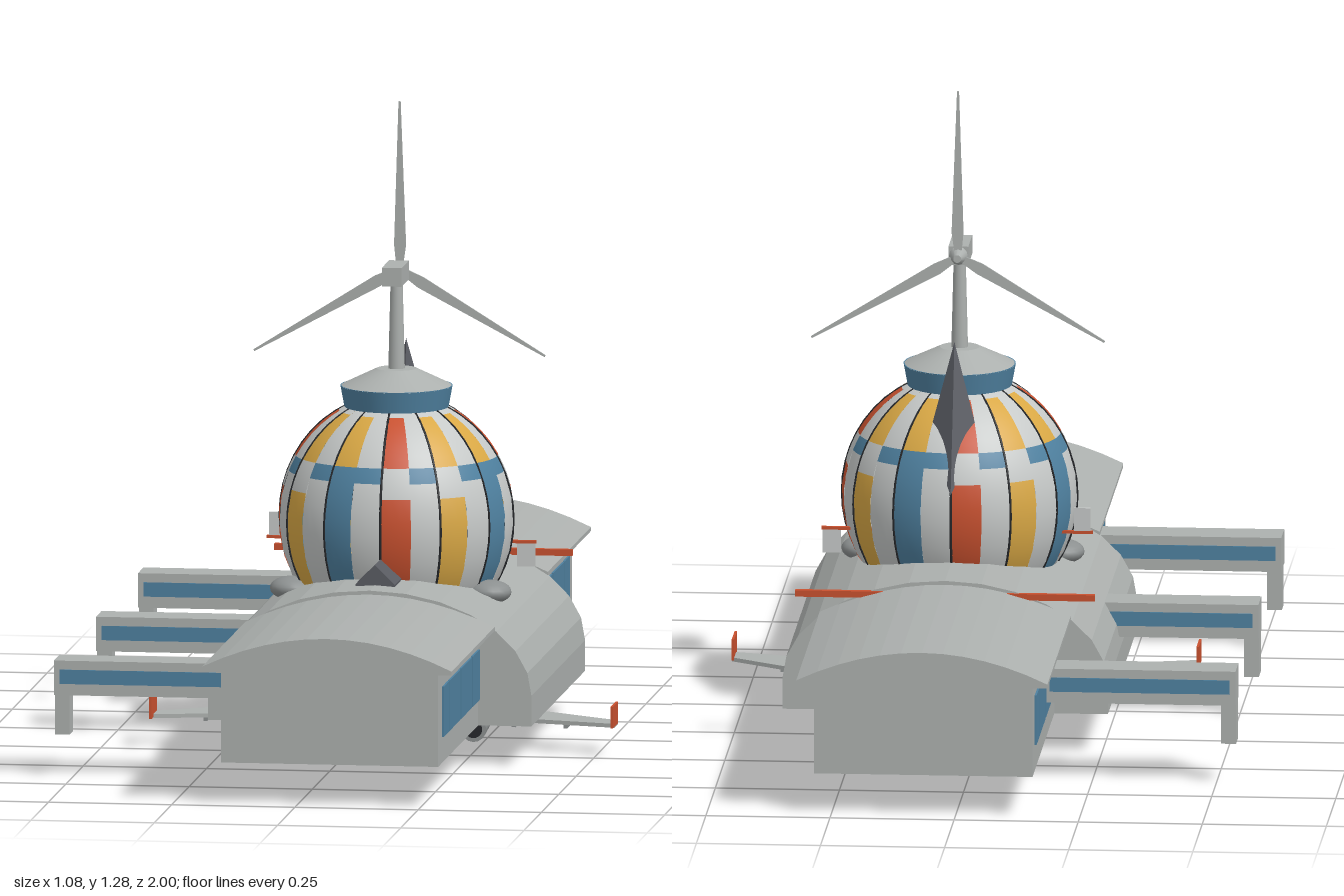
import * as THREE from 'three';
import { mergeGeometries } from 'three/addons/utils/BufferGeometryUtils.js';
import { ConvexGeometry } from 'three/addons/geometries/ConvexGeometry.js';

const CX = 0.065; // building centre line
const mat = (name, color, side = THREE.FrontSide) => {
  const m = new THREE.MeshStandardMaterial({ color, side });
  m.name = name;
  return m;
};

export function createModel() {
  const M = {
    grey: mat('concrete grey', 0xacb0ae),
    pale: mat('pale panel', 0xc6c9c8, THREE.DoubleSide),
    blue: mat('blue', 0x4f81a0, THREE.DoubleSide),
    red: mat('red', 0xc9512f, THREE.DoubleSide),
    yellow: mat('yellow', 0xd9a845, THREE.DoubleSide),
    slate: mat('slate', 0x5a5c63),
    black: mat('black rib', 0x26282b),
    steel: mat('steel', 0x8c9090),
  };
  const root = new THREE.Group();
  root.name = 'terminal';
  const add = (name, geo, material, x = 0, y = 0, z = 0, parent = root) => {
    const m = new THREE.Mesh(geo, material);
    m.name = name;
    m.position.set(x, y, z);
    parent.add(m);
    return m;
  };
  // box from its limits
  const box = (name, material, x0, x1, y0, y1, z0, z1) =>
    add(name, new THREE.BoxGeometry(x1 - x0, y1 - y0, z1 - z0), material,
      (x0 + x1) / 2, (y0 + y1) / 2, (z0 + z1) / 2);
  // x-y outline extruded along z
  const prism = (name, material, pts, z0, z1) => {
    const shape = new THREE.Shape(pts.map(p => new THREE.Vector2(p[0], p[1])));
    return add(name, new THREE.ExtrudeGeometry(shape, { depth: z1 - z0, bevelEnabled: false }), material, 0, 0, z0);
  };
  const arch = (rx, y, ry, n) => Array.from({ length: n + 1 }, (_, i) => {
    const a = Math.PI * i / n;
    return [CX + rx * Math.cos(a), y + ry * Math.sin(a)];
  });

  // central hall with a faceted vault
  prism('hall', M.grey, [[CX - 0.328, 0.085], [CX + 0.328, 0.085], ...arch(0.328, 0.147, 0.207, 14)], -0.385, 0.385);

  // two wings with overhanging curved roofs and window bands
  const roof = Array.from({ length: 13 }, (_, i) => {
    const t = 1 - i / 6;
    return [CX + 0.253 * t, 0.285 + 0.061 * (1 - t * t)];
  });
  const panes = [[0.39, 0.49], [0.5, 0.655], [0.665, 0.82], [0.828, 0.905]];
  for (const s of [-1, 1]) {
    const span = (a, b) => (s > 0 ? [a, b] : [-b, -a]);
    box('wingWalls', M.grey, CX - 0.22, CX + 0.22, 0.085, 0.285, ...span(0.38, 0.96));
    prism('wingRoof', M.grey, [[CX - 0.253, 0.277], [CX + 0.253, 0.277], ...roof], ...span(0.38, 1));
    for (const [a, b] of panes) for (const side of [-1, 1]) {
      const x = CX + side * 0.221;
      box('wingWindow', M.blue, x - 0.003, x + 0.003, 0.138, 0.24, ...span(a, b));
    }
  }

  // boarding bridges on the right-hand side
  for (const [z, end] of [[-0.607, -0.15], [-0.005, -0.2], [0.6, -0.15]]) {
    box('bridge', M.grey, -0.54, end, 0.167, 0.237, z - 0.04, z + 0.04);
    box('bridgeLeg', M.grey, -0.54, -0.51, 0.085, 0.168, z - 0.025, z + 0.025);
    for (const s of [-1, 1])
      box('bridgeWindow', M.blue, -0.528, -0.165, 0.19, 0.219, z + s * 0.04 - 0.002, z + s * 0.04 + 0.002);
  }

  // patchwork ball: 24 gores cut into bands, merged by colour
  const R = 0.237, H = 0.25, CY = 0.447;
  const theta = y => Math.acos(Math.max(-1, Math.min(1, (y - CY) / H)));
  const bins = { pale: [], blue: [], red: [], yellow: [] };
  const patch = (color, gore, y0, y1) => {
    const step = Math.PI / 12;
    const g = new THREE.SphereGeometry(1, 2, 6, gore * step + Math.PI / 2, step, theta(y1), theta(y0) - theta(y1));
    bins[color].push(g.scale(R, H, R));
  };
  const low = ['red', 'yellow', 'blue'], high = ['red', 'yellow', 'yellow'];
  for (let g = 0; g < 24; g++) {
    const k = (g / 2) % 3;
    if (g % 2) {
      patch('pale', g, 0.25, 0.545);
      patch('blue', g, 0.545, 0.575);
      patch('pale', g, 0.575, 0.68);
    } else {
      patch(low[k], g, 0.25, 0.515);
      patch(k === 2 ? 'blue' : 'pale', g, 0.515, 0.575);
      patch(high[k], g, 0.575, 0.665);
      patch('pale', g, 0.665, 0.68);
    }
  }
  for (const c in bins) add(c + 'Gores', mergeGeometries(bins[c]), M[c], CX, CY, 0);

  // dark ribs along the gores
  const ribPts = Array.from({ length: 10 }, (_, i) => {
    const t = theta(0.3) + (theta(0.675) - theta(0.3)) * i / 9;
    return new THREE.Vector3(0, H * Math.cos(t), R * Math.sin(t));
  });
  const ribGeo = new THREE.TubeGeometry(new THREE.CatmullRomCurve3(ribPts), 14, 0.0025, 4);
  for (let i = 0; i < 12; i++) add('rib', ribGeo, M.black, CX, CY, 0).rotation.y = i * Math.PI / 6;

  // collar, cap and mast
  add('collar', new THREE.CylinderGeometry(0.113, 0.105, 0.043, 32), M.blue, CX, 0.694, 0);
  add('cap', new THREE.CylinderGeometry(0.04, 0.113, 0.035, 32), M.grey, CX, 0.732, 0);
  add('mast', new THREE.CylinderGeometry(0.012, 0.017, 0.2, 16), M.grey, CX, 0.84, 0);

  // wind turbine
  box('nacelle', M.grey, CX - 0.02, CX + 0.02, 0.925, 0.963, -0.035, 0.07);
  const hub = add('hub', new THREE.CylinderGeometry(0.008, 0.019, 0.03, 12), M.grey, CX, 0.944, -0.05);
  hub.rotation.x = -Math.PI / 2;
  const bladeShape = new THREE.Shape([[-0.006, 0], [0.006, 0], [0.013, 0.05], [0.002, 0.341], [-0.002, 0.341], [-0.011, 0.05]]
    .map(p => new THREE.Vector2(...p)));
  const bladeGeo = new THREE.ExtrudeGeometry(bladeShape, { depth: 0.004, bevelEnabled: false });
  for (let i = 0; i < 3; i++) add('blade', bladeGeo, M.grey, CX, 0.944, -0.045).rotation.z = i * Math.PI * 2 / 3;

  // dark spike behind the ball and gabled porch in front
  add('spike', new ConvexGeometry([[0, 0.79, -0.138], [0, 0.497, -0.24], [-0.05, 0.6, -0.16], [0.05, 0.6, -0.16], [0, 0.62, -0.1]]
    .map(p => new THREE.Vector3(...p))), M.slate, CX, 0, 0);
  prism('porch', M.slate, [[CX - 0.04, 0.34], [CX + 0.04, 0.34], [CX + 0.04, 0.355], [CX, 0.395], [CX - 0.04, 0.355]], 0.18, 0.31);

  // red beams, small sign plates and side domes
  box('rearBeam', M.red, -0.237, 0.367, 0.318, 0.331, -0.392, -0.38);
  box('sideBeam', M.red, -0.21, 0.337, 0.387, 0.393, -0.086, -0.078);
  box('signPlate', M.pale, -0.205, -0.172, 0.39, 0.44, -0.086, -0.08);
  box('signPlate', M.pale, 0.298, 0.335, 0.34, 0.388, -0.086, -0.08);
  for (const s of [-1, 1])
    add('sideDome', new THREE.SphereGeometry(1, 20, 12), M.steel, CX + s * 0.2, 0.312, 0.085).scale.set(0.045, 0.024, 0.045);

  // aircraft under the hall, nose towards the back
  const plane = new THREE.Group();
  plane.name = 'aircraft';
  plane.position.x = CX;
  root.add(plane);
  const body = new THREE.LatheGeometry([[0, -0.48], [0.018, -0.468], [0.034, -0.43], [0.042, -0.37], [0.042, 0.34], [0.03, 0.42], [0.012, 0.48], [0, 0.495]]
    .map(p => new THREE.Vector2(...p)), 20);
  body.rotateX(Math.PI / 2);
  const bp = body.attributes.position;
  for (let i = 0; i < bp.count; i++) // tail sweeps upwards
    if (bp.getZ(i) > 0.34) bp.setY(i, bp.getY(i) + (bp.getZ(i) - 0.34) * 0.06);
  body.computeVertexNormals();
  add('fuselage', body, M.grey, 0, 0.076, 0, plane);
  add('stripe', new THREE.BoxGeometry(0.088, 0.012, 0.65), M.red, 0, 0.075, -0.015, plane);
  for (const s of [-1, 1]) {
    const half = new THREE.Shape([[0, -0.12], [s * 0.33, 0.06], [s * 0.47, 0.15], [s * 0.47, 0.2], [s * 0.33, 0.165], [s * 0.12, 0.11], [0, 0.11]]
      .map(p => new THREE.Vector2(...p)));
    const wing = new THREE.ExtrudeGeometry(half, { depth: 0.008, bevelEnabled: false });
    add('aircraftWing', wing.rotateX(Math.PI / 2), M.grey, 0, 0.066, 0, plane);
    add('winglet', new THREE.BoxGeometry(0.005, 0.044, 0.075), M.red, s * 0.468, 0.082, 0.185, plane);
    // engine with dark intake and pylon
    const x = s * 0.165;
    add('engine', new THREE.CylinderGeometry(0.02, 0.026, 0.11, 16), M.steel, x, 0.029, 0.01, plane).rotation.x = -Math.PI / 2;
    for (const e of [-1, 1])
      add('engineOpening', new THREE.CylinderGeometry(0.018, 0.018, 0.004, 16), M.black, x, 0.029, 0.01 + e * 0.055, plane).rotation.x = Math.PI / 2;
    add('pylon', new THREE.BoxGeometry(0.008, 0.03, 0.07), M.steel, x, 0.058, 0.02, plane);
    for (const d of [0.26, 0.365])
      add('flapFairing', new THREE.BoxGeometry(0.008, 0.012, 0.06), M.steel, s * d, 0.055, 0.13, plane);
    add('wheel', new THREE.CylinderGeometry(0.014, 0.014, 0.012, 14), M.black, s * 0.035, 0.034, 0.05, plane).rotation.z = Math.PI / 2;
  }
  return root;
}
